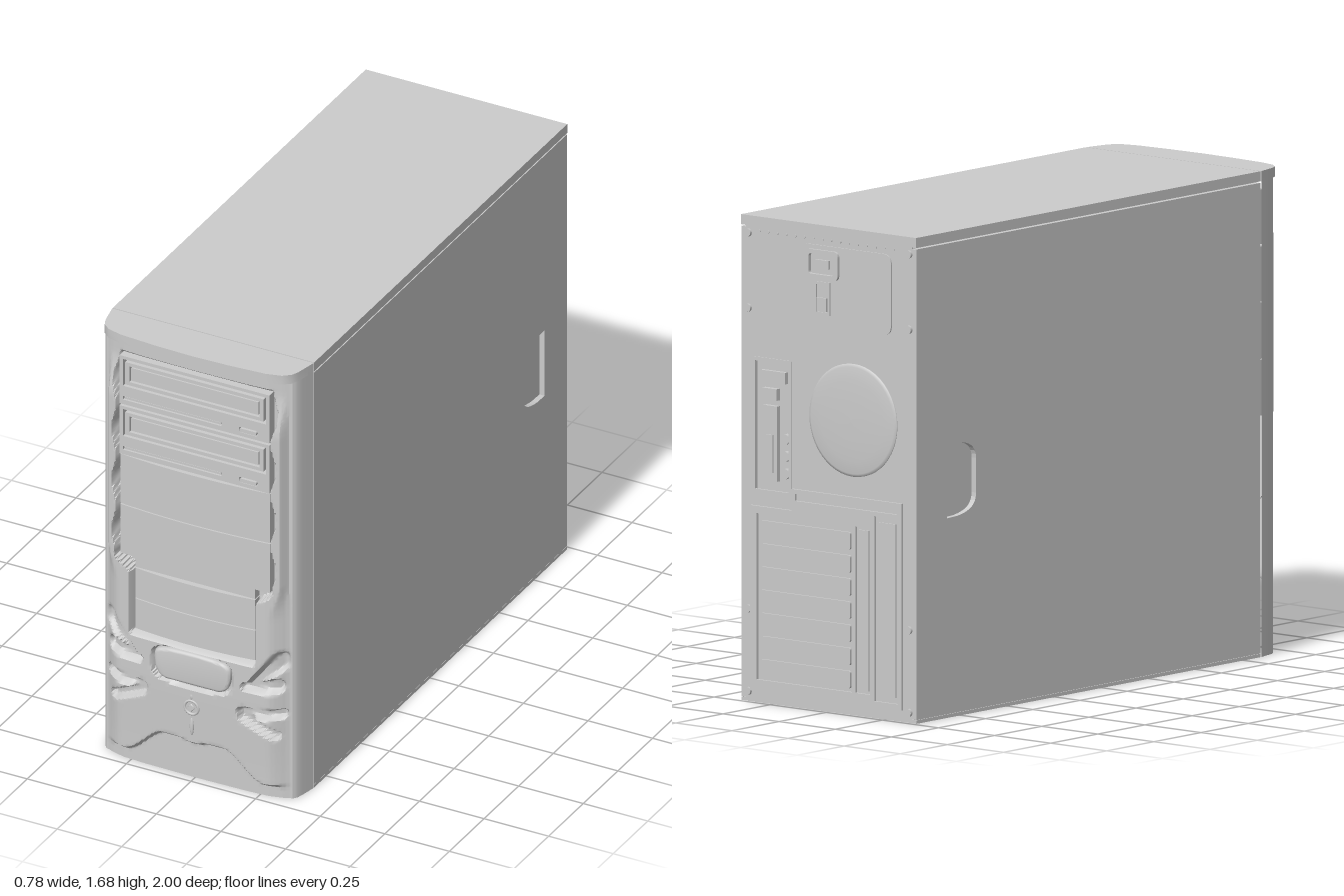
import * as THREE from 'three';
import { toCreasedNormals } from 'three/addons/utils/BufferGeometryUtils.js';

const mat = new THREE.MeshStandardMaterial({ color: 0xcccccc, roughness: 0.7 });
const ss = (a, b, v) => THREE.MathUtils.smoothstep(v, a, b);

export function createModel() {
  const model = new THREE.Group();
  const add = (name, geo, parent = model) => {
    const m = new THREE.Mesh(geo, mat);
    m.name = name;
    parent.add(m);
    return m;
  };
  const group = (name) => {
    const g = new THREE.Group();
    g.name = name;
    model.add(g);
    return g;
  };
  // box given by its limits
  const box = (name, x0, x1, y0, y1, z0, z1, parent) =>
    add(name, new THREE.BoxGeometry(x1 - x0, y1 - y0, z1 - z0)
      .translate((x0 + x1) / 2, (y0 + y1) / 2, (z0 + z1) / 2), parent);
  // rounded rectangle outline
  const rect = (x0, x1, y0, y1, r = 0.001) => {
    const s = new THREE.Shape();
    s.moveTo(x0 + r, y0);
    s.lineTo(x1 - r, y0); s.quadraticCurveTo(x1, y0, x1, y0 + r);
    s.lineTo(x1, y1 - r); s.quadraticCurveTo(x1, y1, x1 - r, y1);
    s.lineTo(x0 + r, y1); s.quadraticCurveTo(x0, y1, x0, y1 - r);
    s.lineTo(x0, y0 + r); s.quadraticCurveTo(x0, y0, x0 + r, y0);
    return s;
  };
  const plate = (shape, z0, z1, holes = [], bevel = 0) => {
    shape.holes.push(...holes);
    return new THREE.ExtrudeGeometry(shape, {
      depth: z1 - z0 - 2 * bevel, curveSegments: 8, bevelEnabled: bevel > 0,
      bevelSize: bevel, bevelOffset: -bevel, bevelThickness: bevel, bevelSegments: 3,
    }).translate(0, 0, z0 + bevel);
  };
  // symmetric plan outline (half given as x, z pairs from the back) raised from y0 to y1
  const planBlock = (half, y0, y1) => {
    const pts = half.map(([x, z]) => new THREE.Vector2(x, -z));
    const mirrored = half.filter(([x]) => x > 0).reverse().map(([x, z]) => new THREE.Vector2(-x, -z));
    const g = new THREE.ExtrudeGeometry(new THREE.Shape([...pts, ...mirrored]), { depth: y1 - y0, bevelEnabled: false });
    return toCreasedNormals(g.rotateX(-Math.PI / 2).translate(0, y0, 0), 0.5);
  };

  // case: inner core, top cover and side panels with grip recesses
  box('caseCore', -0.37, 0.37, 0.005, 1.66, -0.965, 0.9 - 0.06);
  box('topCover', -0.39, 0.39, 1.645, 1.68, -0.988, 0.838);
  box('bottomPlate', -0.39, 0.39, 0, 0.012, -0.985, 0.838);
  for (const side of [-1, 1]) {
    const grip = new THREE.Path();
    grip.moveTo(0.825, 0.69);
    grip.lineTo(0.825, 0.95);
    grip.lineTo(0.77, 0.948);
    grip.bezierCurveTo(0.70, 0.94, 0.67, 0.92, 0.67, 0.88);
    grip.lineTo(0.67, 0.76);
    grip.bezierCurveTo(0.67, 0.72, 0.70, 0.70, 0.77, 0.692);
    const g = plate(rect(-0.838, 0.985, 0.013, 1.64), 0, 0.02, [grip]).rotateY(Math.PI / 2);
    add(side > 0 ? 'leftSidePanel' : 'rightSidePanel', g.translate(side > 0 ? 0.37 : -0.39, 0, 0));
  }

  // front bezel: one surface shaped by height rules
  const plan = [[0, 0.984], [0.2, 0.981], [0.28, 0.976], [0.335, 0.962], [0.362, 0.945], [0.374, 0.92], [0.39, 0.842]];
  const crown = (x) => {
    const i = Math.max(1, plan.findIndex((p) => p[0] >= x - 1e-6));
    const [a, b] = [plan[i - 1], plan[i]];
    return a[1] + (b[1] - a[1]) * (x - a[0]) / (b[0] - a[0]);
  };
  // tapered grooves at the lower sides: x, y, radius at both ends
  const grooves = [
    [0.205, 0.425, 0.012, 0.31, 0.445, 0.03], [0.225, 0.435, 0.012, 0.33, 0.545, 0.035],
    [0.195, 0.32, 0.02, 0.33, 0.335, 0.016], [0.195, 0.305, 0.018, 0.31, 0.25, 0.016],
  ];
  const groove = (x, y) => Math.max(...grooves.map(([ax, ay, ar, bx, by, br]) => {
    const dx = bx - ax, dy = by - ay;
    const t = THREE.MathUtils.clamp(((x - ax) * dx + (y - ay) * dy) / (dx * dx + dy * dy), 0, 1);
    const r = ar + (br - ar) * t;
    return 1 - ss(r * 0.5, r + 0.006, Math.hypot(x - ax - dx * t, y - ay - dy * t));
  }));
  const bayHalf = (y) => THREE.MathUtils.lerp(0.238, 0.303 - 0.01 * Math.cos(Math.PI * 10 * y) * ss(0.8, 0.85, y), ss(0.755, 0.81, y));
  const height = (x, y) => {
    const arch = 0.045 + 0.105 * (1 - ss(0.11, 0.27, x)) - 0.012 * (1 - ss(0, 0.07, x));
    const upper = ss(0.7, 0.85, y);
    const raised = ss(arch - 0.006, arch + 0.012, y) * (1 - ss(1.42, 1.6, y))
      * (1 - ss(0.29 + 0.04 * upper, 0.36 - 0.012 * upper, x));
    const swell = 0.7 + 0.3 * ss(0.05, 0.4, y);
    let z = crown(x) - 0.014 * (1 - ss(0.34, 0.38, x)) + 0.029 * raised * swell;
    z -= 0.03 * groove(x, y) * (1 - ss(0.33, 0.36, x));
    z -= 0.02 * (1 - ss(0.9, 1.1, (x / 0.155) ** 4 + ((y - 0.435) / 0.07) ** 4));
    const bay = (1 - ss(-0.004, 0.006, x - bayHalf(y))) * ss(0.515, 0.523, y) * (1 - ss(1.592, 1.604, y));
    return THREE.MathUtils.lerp(Math.min(z, 0.999), 0.94, bay);
  };
  const nx = 130, ny = 210;
  const face = new THREE.PlaneGeometry(0.78, 1, nx, ny);
  const p = face.attributes.position;
  for (let i = 0; i < p.count; i++) {
    const row = Math.floor(i / (nx + 1)), x = p.getX(i);
    const y = 1.655 * THREE.MathUtils.clamp((ny - 1 - row) / (ny - 2), 0, 1);
    // the outermost rows fold back to close top and bottom
    p.setXYZ(i, x, y, row === 0 || row === ny ? 0.838 : height(Math.min(Math.abs(x), 0.39), y));
  }
  add('frontBezel', toCreasedNormals(face, 0.6));
  add('bezelTopLip', planBlock([[0.39, 0.842], [0.374, 0.92], [0.362, 0.948], [0.335, 0.97], [0.28, 0.984], [0.14, 0.994], [0, 0.998]], 1.645, 1.68));

  // optical drives with tray, slot and eject button
  const drives = group('opticalDrives');
  for (const y of [1.402, 1.204]) {
    const front = rect(-0.29, 0.29, y, y + 0.19);
    add('driveFront', plate(front, 0.93, 0.975, [
      rect(-0.277, 0.277, y + 0.072, y + 0.178), rect(-0.277, 0.105, y + 0.018, y + 0.032),
      rect(0.172, 0.245, y + 0.014, y + 0.036, 0.01)]), drives);
    add('trayRim', plate(rect(-0.268, 0.268, y + 0.081, y + 0.169), 0.93, 0.976, [rect(-0.252, 0.252, y + 0.094, y + 0.156)]), drives);
    box('tray', -0.246, 0.246, y + 0.1, y + 0.15, 0.93, 0.973, drives);
    box('driveSlot', -0.273, 0.1, y + 0.021, y + 0.029, 0.93, 0.972, drives);
    add('ejectButton', plate(rect(0.176, 0.241, y + 0.018, y + 0.032, 0.006), 0.93, 0.979), drives);
  }

  // blank covers, slightly bowed forward
  const covers = group('bayCovers');
  for (const [w, y0, y1] of [[0.29, 1.006, 1.2], [0.29, 0.81, 1.002], [0.232, 0.648, 0.765], [0.232, 0.527, 0.644]]) {
    const arc = Array.from({ length: 9 }, (_, i) => [w * (1 - i / 8), 0.985 - 0.015 * (1 - i / 8) ** 2]);
    add('bayCover', planBlock([[w, 0.93], ...arc, [0, 0.985]].slice(0, -1), y0, y1), covers);
  }
  box('lowerBayBrow', -0.232, 0.232, 0.769, 0.806, 0.93, 0.97, covers);

  // large front button, ring ornament and drop
  const button = new THREE.Shape();
  button.moveTo(-0.1, 0.375);
  button.lineTo(0.1, 0.375);
  button.bezierCurveTo(0.14, 0.38, 0.15, 0.42, 0.146, 0.47);
  button.bezierCurveTo(0.14, 0.495, 0.08, 0.497, 0, 0.498);
  button.bezierCurveTo(-0.08, 0.497, -0.14, 0.495, -0.146, 0.47);
  button.bezierCurveTo(-0.15, 0.42, -0.14, 0.38, -0.1, 0.375);
  add('powerButton', toCreasedNormals(plate(button, 0.95, 0.996, [], 0.01), 0.7));
  const ornament = group('ornament');
  add('ring', new THREE.TorusGeometry(0.026, 0.005, 8, 32).translate(0, 0.29, 0.996), ornament);
  add('gem', new THREE.CylinderGeometry(0.012, 0.02, 0.01, 4).rotateX(Math.PI / 2).translate(0, 0.29, 0.996), ornament);
  for (const [y, h] of [[0.333, 0.014], [0.215, 0.035]])
    add('drop', new THREE.SphereGeometry(1, 12, 10).scale(0.008, h, 0.006).translate(0, y, 0.994), ornament);

  // back plate with the connector opening
  const back = group('back');
  add('backPlate', plate(rect(-0.37, 0.37, 0.012, 1.645), -0.985, -0.964, [rect(0.17, 0.335, 0.73, 1.19)]), back);
  add('connectorFrame', plate(rect(0.165, 0.34, 0.725, 1.195), -0.989, -0.98, [rect(0.178, 0.327, 0.738, 1.182)]), back);
  box('portStrip', 0.235, 0.295, 0.77, 1.03, -0.982, -0.96, back);
  box('portStripInner', 0.25, 0.28, 0.8, 0.93, -0.988, -0.96, back);
  box('portBlock', 0.235, 0.3, 1.05, 1.09, -0.985, -0.96, back);
  box('portBlock', 0.2, 0.31, 1.11, 1.15, -0.98, -0.96, back);
  const disc = (name, x, y, r, z0, z1, seg = 20) =>
    add(name, new THREE.CylinderGeometry(r, r, z1 - z0, seg).rotateX(Math.PI / 2).translate(x, y, (z0 + z1) / 2), back);
  for (const y of [0.8, 0.86, 0.92]) disc('audioJack', 0.2, y, 0.018, -0.982, -0.96);

  // domed fan cover
  const dome = [[0.195, 0], [0.195, 0.004], [0.185, 0.008], [0.14, 0.012], [0.07, 0.0145], [0, 0.015]];
  add('fanCover', new THREE.LatheGeometry(dome.map(([r, h]) => new THREE.Vector2(r, h)), 48)
    .rotateX(-Math.PI / 2).translate(-0.11, 1.02, -0.985), back);

  // power supply panel with socket and switch
  add('powerPanel', plate(rect(-0.28, 0.12, 1.33, 1.61, 0.035), -0.99, -0.98, [rect(-0.03, 0.08, 1.51, 1.58, 0.01)]), back);
  add('socketRim', plate(rect(-0.05, 0.1, 1.495, 1.595, 0.02), -0.999, -0.985, [rect(-0.03, 0.08, 1.51, 1.58, 0.01)]), back);
  box('socketPlug', -0.005, 0.055, 1.53, 1.56, -0.995, -0.97, back);
  add('switchRim', plate(rect(-0.01, 0.06, 1.37, 1.485), -0.994, -0.985, [rect(0, 0.05, 1.38, 1.475)]), back);
  box('switchRocker', 0.003, 0.047, 1.383, 1.43, -0.997, -0.985, back);

  // expansion slot panel: stepped outline, seven covers and two vertical strips
  const outline = [[-0.33, 0.04], [0.345, 0.04], [0.345, 0.68], [0.16, 0.68], [0.16, 0.755], [-0.33, 0.755]];
  const slotShape = new THREE.Shape(outline.map(([x, y]) => new THREE.Vector2(x, y)));
  add('slotPanel', plate(slotShape, -0.994, -0.984, [
    rect(-0.11, 0.315, 0.08, 0.655), rect(-0.19, -0.125, 0.08, 0.655), rect(-0.315, -0.21, 0.06, 0.7),
    rect(-0.31, 0.145, 0.715, 0.74)]), back);
  for (let i = 0; i < 7; i++)
    add('slotCover', plate(rect(-0.1, 0.3, 0.092 + i * 0.08, 0.152 + i * 0.08, 0.008), -0.993, -0.98), back);
  box('slotStrip', -0.18, -0.135, 0.09, 0.645, -0.99, -0.98, back);
  box('slotStrip', -0.3, -0.225, 0.08, 0.68, -0.99, -0.98, back);

  // rim screws and a row of small studs below the top edge
  for (const x of [-0.358, 0.358])
    for (const y of [0.035, 0.32, 1.36, 1.62]) disc('screw', x, y, 0.014, -0.994, -0.98, 12);
  for (let i = 0; i < 16; i++) disc('stud', 0.31 - i * 0.04, 1.63, 0.005, -0.988, -0.98, 6);

  return model;
}
